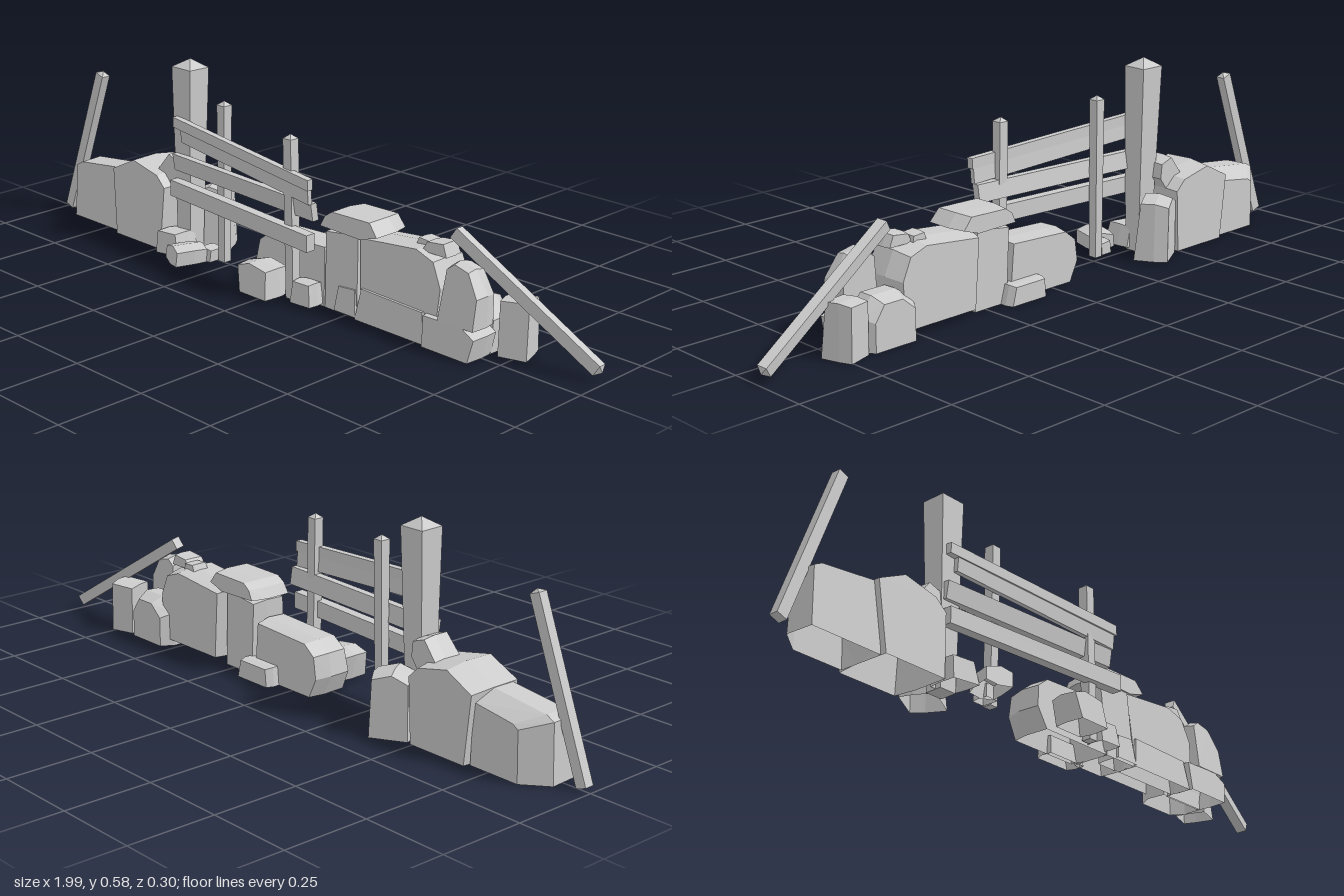
import * as THREE from 'three';
import { ConvexGeometry } from 'three/addons/geometries/ConvexGeometry.js';

const V = (x, y, z) => new THREE.Vector3(x, y, z);
const UP = V(0, 1, 0);
const stone = new THREE.MeshStandardMaterial({ color: 0xcccccc, flatShading: true, side: THREE.DoubleSide });

function hull(name, points) {
  const mesh = new THREE.Mesh(new ConvexGeometry(points), stone);
  mesh.name = name;
  return mesh;
}

// Chiselled rock: a front outline [x, y] spanning z0..z1, narrowed at the back
// towards x = pivot, its front leaning back, turned by yaw about its own middle.
// Rocks on the ground have no underside.
function rock(name, z0, z1, outline, { back = 0.88, front = 0.98, lean = 0.1, yaw = 0, pivot } = {}) {
  const xs = outline.map((p) => p[0]);
  const cx = (Math.min(...xs) + Math.max(...xs)) / 2;
  const px = pivot ?? cx;
  const cz = (z0 + z1) / 2;
  const base = Math.min(...outline.map((p) => p[1]));
  const rings = [[z0, back, 0], [z0 + (z1 - z0) * 0.4, 1, 0], [z1, front, lean]];
  const mesh = hull(name, rings.flatMap(([z, s, slope]) => outline.map(([x, y]) => {
    const h = (y - base) * (1 + s) / 2;
    return V(px + (x - px) * s - cx, base + h, z - cz - h * slope).applyAxisAngle(UP, yaw).add(V(cx, 0, cz));
  })));
  if (base < 0.03) removeUnderside(mesh.geometry);
  return mesh;
}

function removeUnderside(geometry) {
  const { position, normal } = geometry.attributes;
  const kept = [];
  for (let i = 0; i < position.count; i += 3) {
    if (normal.getY(i) > -0.9) kept.push(...position.array.slice(i * 3, i * 3 + 9));
  }
  geometry.setAttribute('position', new THREE.Float32BufferAttribute(kept, 3));
  geometry.computeVertexNormals();
}

// Four-sided post from a to b, tapered and with a pointed end
function post(name, a, b, w, d, startScale, tip) {
  const dir = b.clone().sub(a);
  const len = dir.length();
  const pts = [V(0, len, 0)];
  for (const [y, s] of [[0, startScale], [len - tip, 1]]) {
    for (const sx of [-1, 1]) for (const sz of [-1, 1]) pts.push(V(sx * w * s / 2, y, sz * d * s / 2));
  }
  const mesh = hull(name, pts);
  mesh.position.copy(a);
  mesh.quaternion.setFromUnitVectors(UP, dir.normalize());
  return mesh;
}

// Plank from a to b with upright ends; lean pushes its top edge forward
function rail(name, a, b, h, d, lean = 0) {
  return hull(name, [a, b].flatMap((p) => [-1, 1].flatMap((sy) => [-1, 1].map((sz) =>
    V(p.x, p.y + sy * h / 2, p.z + sz * d / 2 + sy * lean)))));
}

export function createModel() {
  const model = new THREE.Group();
  model.name = 'ruinedWallAndFence';

  // Upright and fallen posts
  const posts = new THREE.Group();
  posts.name = 'posts';
  posts.add(
    post('mainPost', V(-0.43, 0, -0.008), V(-0.43, 0.575, -0.018), 0.078, 0.072, 0.7, 0.025),
    post('thinPostLeft', V(-0.265, 0.01, 0.008), V(-0.262, 0.487, 0.005), 0.03, 0.03, 0.85, 0.012),
    post('thinPostRight', V(0.07, 0.005, 0.06), V(0.06, 0.47, 0.06), 0.03, 0.03, 0.95, 0.012),
    post('leaningPostLeft', V(-0.978, 0.008, 0.004), V(-0.807, 0.47, 0), 0.032, 0.028, 1, 0.01),
    post('leaningPostRight', V(0.56, 0.296, -0.04), V(0.993, 0.026, -0.094), 0.032, 0.03, 1, 0.012),
  );
  model.add(posts);

  // Sagging rails, the top one split along its length
  const rails = new THREE.Group();
  rails.name = 'rails';
  rails.add(
    rail('topRailUpper', V(-0.45, 0.392, 0.025), V(0.155, 0.353, 0.081), 0.03, 0.02),
    rail('topRailLower', V(-0.42, 0.359, 0.025), V(0.15, 0.319, 0.077), 0.046, 0.014, 0.002),
    rail('middleRail', V(-0.455, 0.271, 0.02), V(0.152, 0.272, 0.06), 0.05, 0.022, 0.004),
    rail('bottomRail', V(-0.455, 0.195, 0.03), V(0.16, 0.193, 0.084), 0.048, 0.03),
  );
  model.add(rails);

  // Left stretch of the wall
  const left = new THREE.Group();
  left.name = 'leftWall';
  left.add(
    rock('endStone', -0.092, 0.045, [[-0.915, 0], [-0.91, 0.165], [-0.885, 0.178], [-0.70, 0.2], [-0.69, 0]], { back: 0.7, pivot: -0.69, lean: 0.06 }),
    rock('tallStone', -0.108, 0.062, [[-0.69, 0], [-0.713, 0.2], [-0.62, 0.245], [-0.51, 0.222], [-0.475, 0.19], [-0.485, 0]], { back: 0.92, lean: 0.06 }),
    rock('tiltedStone', -0.07, 0.02, [[-0.545, 0.225], [-0.50, 0.28], [-0.455, 0.265], [-0.45, 0.22], [-0.475, 0.188]], { back: 0.9 }),
    rock('rearStone', -0.138, -0.04, [[-0.472, 0], [-0.47, 0.165], [-0.42, 0.187], [-0.36, 0.17], [-0.352, 0]], { yaw: 0.52 }),
    rock('footStone', 0, 0.085, [[-0.48, 0], [-0.478, 0.066], [-0.40, 0.072], [-0.385, 0.01]]),
    rock('looseStone', 0.035, 0.133, [[-0.385, 0.015], [-0.383, 0.052], [-0.34, 0.062], [-0.305, 0.05], [-0.307, 0.008], [-0.35, 0.005]], { yaw: -0.32 }),
    rock('pebble', 0.0, 0.05, [[-0.325, 0.01], [-0.32, 0.05], [-0.28, 0.045], [-0.282, 0.01]]),
  );
  model.add(left);

  // Right stretch of the wall
  const right = new THREE.Group();
  right.name = 'rightWall';
  right.add(
    rock('innerStone', -0.08, 0.038, [[-0.08, 0], [-0.11, 0.06], [-0.10, 0.125], [-0.06, 0.155], [0.155, 0.165], [0.17, 0]], { back: 0.92 }),
    rock('frontStone', 0.05, 0.143, [[-0.06, 0.01], [-0.078, 0.085], [-0.03, 0.1], [0.04, 0.09], [0.05, 0.01]], { front: 0.93, lean: 0.14 }),
    rock('smallStone', 0.035, 0.09, [[0.085, 0.005], [0.09, 0.068], [0.155, 0.07], [0.165, 0.008]], { front: 0.93 }),
    rock('rearSlab', -0.12, -0.065, [[0.055, 0], [0.06, 0.055], [0.18, 0.055], [0.195, 0]]),
    rock('uprightStone', -0.08, 0.038, [[0.17, 0], [0.16, 0.215], [0.28, 0.23], [0.29, 0]], { back: 0.95, lean: 0.06 }),
    rock('capStone', -0.095, 0.03, [[0.14, 0.225], [0.155, 0.255], [0.18, 0.272], [0.32, 0.275], [0.35, 0.24], [0.29, 0.222]]),
    rock('broadStone', -0.105, 0.033, [[0.295, 0.02], [0.28, 0.225], [0.48, 0.245], [0.54, 0.225], [0.57, 0.16], [0.56, 0.02]], { back: 0.9, lean: 0.06 }),
    rock('lowStoneLeft', -0.03, 0.045, [[0.21, 0.005], [0.22, 0.075], [0.28, 0.08], [0.29, 0.005]]),
    rock('lowStoneMiddle', -0.02, 0.045, [[0.285, 0], [0.30, 0.09], [0.52, 0.085], [0.535, 0]], { back: 0.95 }),
    rock('lowStoneRight', -0.04, 0.055, [[0.53, 0], [0.525, 0.085], [0.66, 0.088], [0.705, 0.065], [0.69, 0]], { back: 0.95, front: 0.95 }),
    rock('pointedStone', -0.037, 0.048, [[0.575, 0.085], [0.585, 0.225], [0.61, 0.243], [0.66, 0.232], [0.70, 0.17], [0.70, 0.085]], { front: 0.93, lean: 0.16 }),
    rock('rearBoulder', -0.13, -0.035, [[0.515, 0], [0.515, 0.10], [0.57, 0.14], [0.65, 0.14], [0.69, 0.09], [0.69, 0]], { back: 0.75 }),
    rock('endBlock', -0.135, -0.045, [[0.695, 0], [0.692, 0.147], [0.772, 0.152], [0.775, 0]], { back: 0.92, yaw: 0.3 }),
    rock('topPebble', -0.06, 0, [[0.48, 0.235], [0.495, 0.262], [0.55, 0.268], [0.565, 0.235]]),
    rock('topChip', -0.07, -0.02, [[0.44, 0.23], [0.45, 0.258], [0.49, 0.255], [0.495, 0.23]]),
  );
  model.add(right);

  return model;
}
